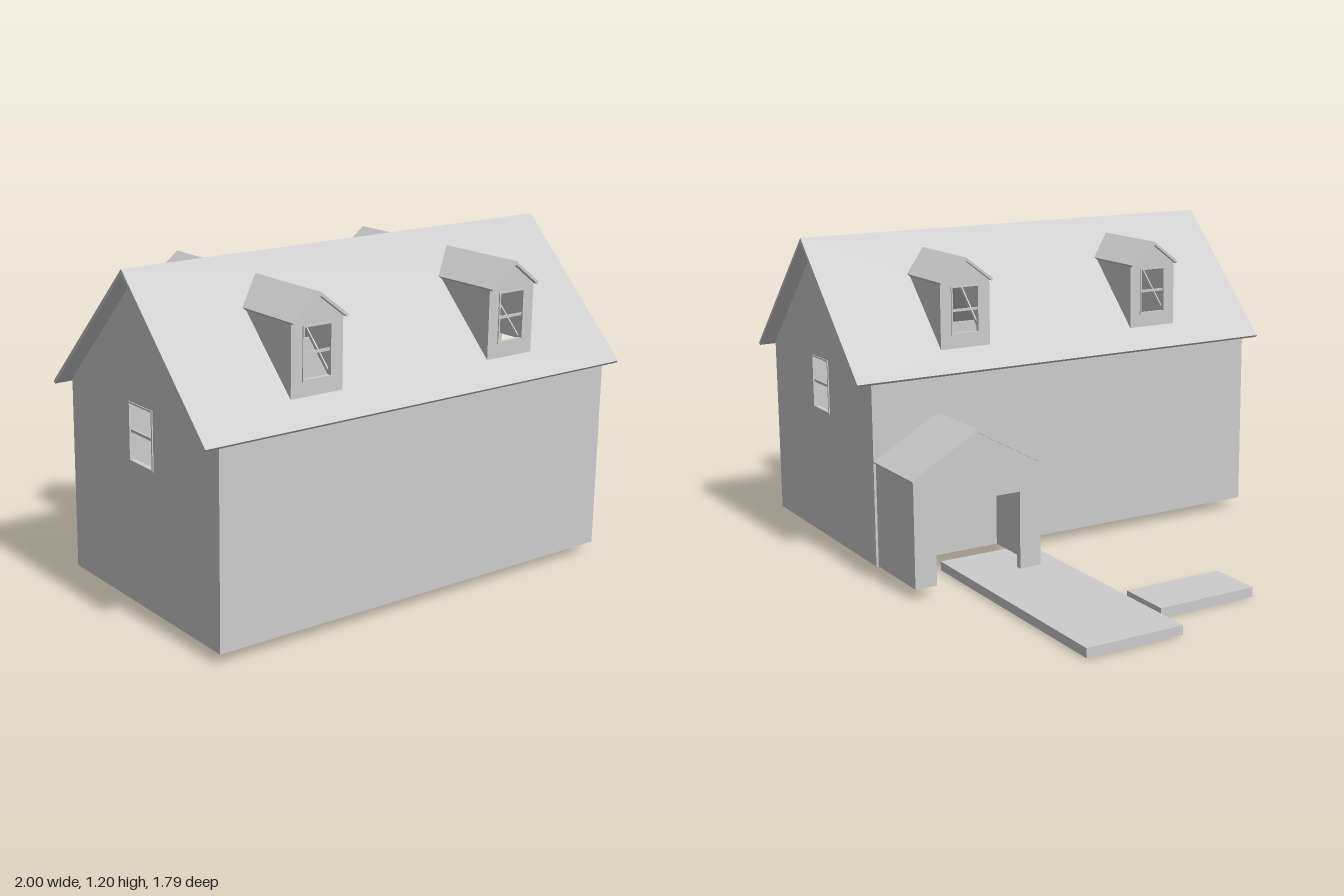
import * as THREE from 'three';

const grey = new THREE.MeshStandardMaterial({ color: 0xcccccc, side: THREE.DoubleSide });
grey.name = 'plain grey';

const HOUSE_X = 0.527, RIDGE = 1.2, FLOOR = 0.038;

function add(parent, name, geometry, x = 0, y = 0, z = 0) {
  const mesh = new THREE.Mesh(geometry, grey);
  mesh.name = name;
  mesh.position.set(x, y, z);
  parent.add(mesh);
  return mesh;
}

// Box given by its limits on each axis
function block(parent, name, [x0, x1], [y0, y1], [z0, z1]) {
  return add(parent, name, new THREE.BoxGeometry(x1 - x0, y1 - y0, z1 - z0),
    (x0 + x1) / 2, (y0 + y1) / 2, (z0 + z1) / 2);
}

const toPoints = (list) => list.map(([x, y]) => new THREE.Vector2(x, y));
const rect = (x0, x1, y0, y1) => [[x0, y0], [x1, y0], [x1, y1], [x0, y1]];

function slab(outline, holes, depth) {
  const shape = new THREE.Shape(toPoints(outline));
  holes.forEach((h) => shape.holes.push(new THREE.Path(toPoints(h))));
  return new THREE.ExtrudeGeometry(shape, { depth, bevelEnabled: false });
}

// Sloping plate: first axis runs down the slope, the top lies on the origin
function slope(parent, name, outline, holes, thick, origin, down, normal) {
  const x = new THREE.Vector3(...down).normalize();
  const z = new THREE.Vector3(...normal).normalize();
  const y = z.clone().cross(x);
  const m = new THREE.Matrix4().makeBasis(x, y, z);
  m.setPosition(new THREE.Vector3(...origin).addScaledVector(z, -thick));
  return add(parent, name, slab(outline, holes, thick).applyMatrix4(m));
}

// Thin frame and cross bar around an opening, facing +z
function windowFrame(parent, w, y0, y1, barY, z0, z1) {
  const g = new THREE.Group();
  g.name = 'windowFrame';
  const a = w / 2, t = 0.006;
  for (const s of [-1, 1]) {
    const edge = [s * a, s * (a + t)].sort((p, q) => p - q);
    block(g, 'frameSide', edge, [y0 - t, y1 + t], [z0, z1]);
  }
  block(g, 'frameSill', [-a, a], [y0 - t, y0], [z0, z1]);
  block(g, 'frameHead', [-a, a], [y1, y1 + t], [z0, z1]);
  block(g, 'windowBar', [-a, a], [barY - 0.005, barY + 0.005], [z0 + 0.006, z1 - 0.006]);
  parent.add(g);
}

// Dormer facing +x, measured from the middle of the house
function dormer(z) {
  const g = new THREE.Group();
  g.name = 'dormer';
  const face = 0.397, half = 0.103, top = 1.14, drop = 0.085, over = 0.111;

  const front = new THREE.Group();
  front.name = 'dormerFront';
  const eave = top - 0.01 - drop * half / over;
  add(front, 'dormerFace', slab(
    [[-half, 0.8], [half, 0.8], [half, eave], [0, top - 0.01], [-half, eave]],
    [rect(-0.0525, 0.0525, 0.86, 1.03)], 0.012), 0, 0, face - 0.012);
  windowFrame(front, 0.105, 0.86, 1.03, 0.945, face - 0.012, face + 0.004);
  front.rotation.y = Math.PI / 2;
  g.add(front);

  for (const s of [-1, 1]) {
    // Triangular cheeks
    add(g, 'dormerCheek', slab([[face, 0.8], [face, eave], [RIDGE - eave - 0.01, eave]], [], 0.01),
      0, 0, s > 0 ? half - 0.01 : -half);
    // Roof halves, cut to meet the main roof
    const len = Math.hypot(over, drop), outer = 0.414;
    const xs = [[0, outer], [len, outer], [len, RIDGE - top + drop], [0, RIDGE - top]];
    slope(g, 'dormerRoof', xs.map(([u, x]) => [u, s * x]), [], 0.01,
      [0, top, 0], [0, -drop, s * over], [0, over, s * drop]);
  }
  g.position.z = z;
  return g;
}

// One half of the house: a long wall, a gable, a roof slope and two dormers
function houseHalf() {
  const g = new THREE.Group();
  g.name = 'houseHalf';
  const w = 0.452, d = 0.833, t = 0.012, under = RIDGE - t * Math.SQRT2, eave = under - w;
  block(g, 'longWall', [w - 0.015, w], [FLOOR, eave], [-d + 0.015, d - 0.015]);
  add(g, 'gableWall', slab([[-w, FLOOR], [w, FLOOR], [w, eave], [0, under], [-w, eave]],
    [rect(-0.0675, 0.0675, 0.54, 0.735)], 0.015), 0, 0, d - 0.015);
  windowFrame(g, 0.135, 0.54, 0.735, 0.64, d - 0.015, d + 0.004);

  const k = Math.SQRT2, holes = [-0.42, 0.42].map((z) => rect(0.16 * k, 0.375 * k, z - 0.088, z + 0.088));
  slope(g, 'mainRoof', rect(0, 0.472 * k, -0.895, 0.895), holes, t, [0, RIDGE, 0], [1, -1, 0], [1, 1, 0]);
  for (const z of [-0.42, 0.42]) g.add(dormer(z));
  return g;
}

// Entrance porch facing -x, running on inside the house
function porch() {
  const g = new THREE.Group();
  g.name = 'porch';
  const half = 0.255, over = 0.264, top = 0.585, drop = 0.15, t = 0.01, inner = 0.52, face = -0.225;
  const eave = top - 0.012 - drop * half / over;
  const wall = add(g, 'porchFront', slab(
    [[-half, FLOOR], [-0.17, FLOOR], [-0.17, 0.33], [0.17, 0.33], [0.17, FLOOR], [half, FLOOR],
      [half, eave], [0, top - 0.012], [-half, eave]], [], 0.025), face + 0.025);
  wall.rotation.y = -Math.PI / 2;
  for (const s of [-1, 1]) {
    block(g, 'porchSide', [face + 0.025, inner], [FLOOR, eave],
      s > 0 ? [half - 0.015, half] : [-half, -half + 0.015]);
    const len = Math.hypot(over, drop);
    slope(g, 'porchRoof', rect(0, len, -0.233, inner).map(([u, x]) => [u, s * x]), [], t,
      [0, top, 0], [0, -drop, s * over], [0, over, s * drop]);
  }
  g.position.z = -0.569;
  return g;
}

export function createModel() {
  const model = new THREE.Group();
  model.name = 'house';

  for (const turn of [0, Math.PI]) {
    const half = houseHalf();
    half.position.x = HOUSE_X;
    half.rotation.y = turn;
    model.add(half);
  }
  block(model, 'houseFloor', [0.09, 0.964], [FLOOR, FLOOR + 0.01], [-0.818, 0.818]);
  model.add(porch());

  // Paving
  block(model, 'walkway', [-1, 0.003], [0.004, 0.038], [-0.607, -0.229]);
  block(model, 'pavingSlab', [-0.828, -0.621], [0, 0.036], [-0.197, 0.197]);
  return model;
}
